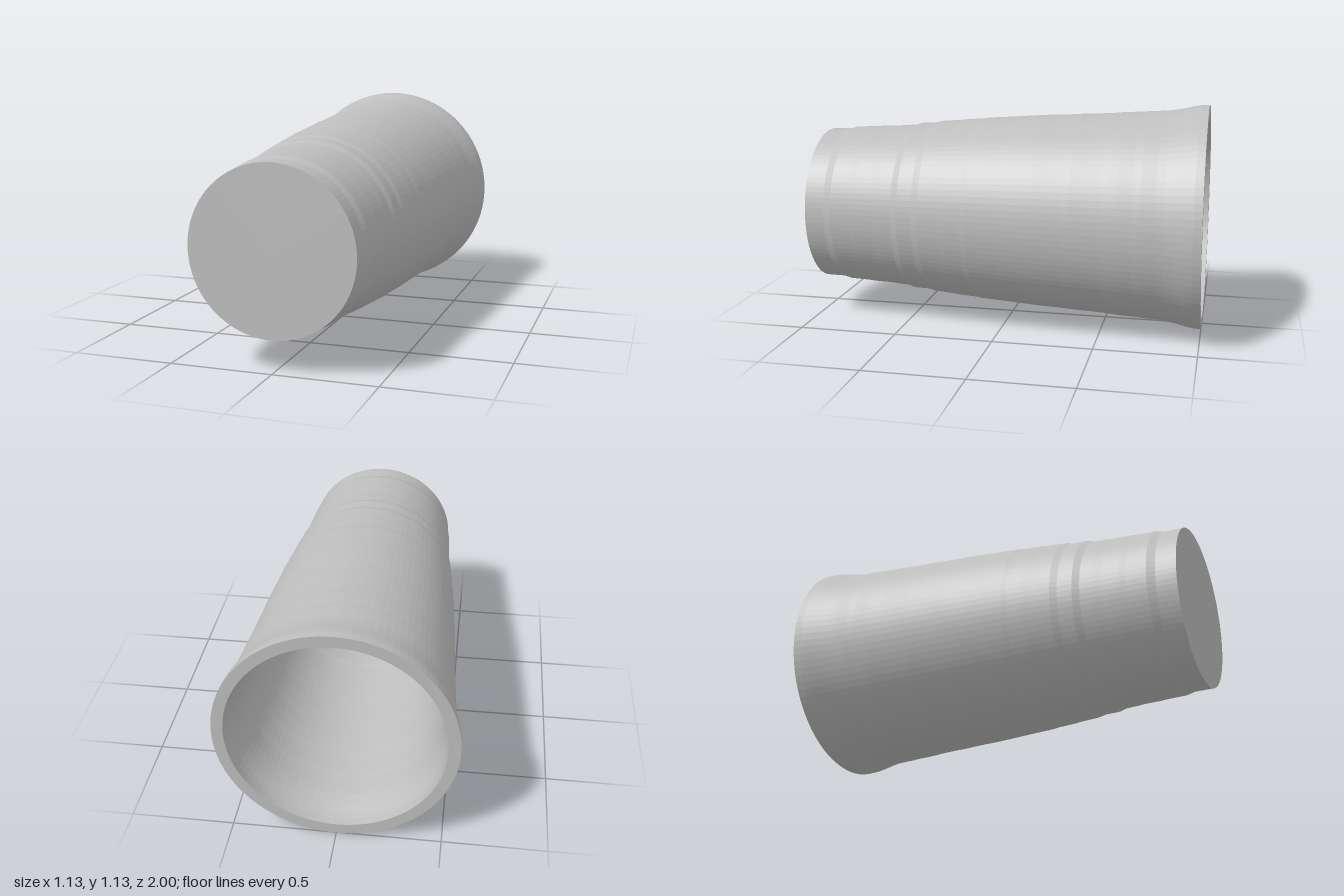
import * as THREE from 'three';

// Outer profile: [z along the axis, radius], from the wide rim to the closed base
const PROFILE = [
  [-1, 0.566], [-0.96, 0.564], [-0.93, 0.559], [-0.87, 0.545], [-0.82, 0.536], [-0.78, 0.532],
  [-0.71, 0.529], [-0.67, 0.525], [-0.6, 0.522], [-0.56, 0.519], [-0.52, 0.515], [-0.45, 0.511],
  [-0.37, 0.508], [-0.33, 0.505], [-0.26, 0.501], [-0.18, 0.498], [-0.08, 0.491], [0, 0.485],
  [0.08, 0.48], [0.14, 0.476], [0.17, 0.471], [0.25, 0.466], [0.29, 0.461], [0.39, 0.453],
  [0.425, 0.444], [0.5, 0.441], [0.535, 0.43], [0.6, 0.426], [0.64, 0.422], [0.73, 0.419],
  [0.76, 0.416], [0.86, 0.412], [0.9, 0.401], [1, 0.399],
];
const WALL = 0.055;
const FLOOR_Z = 0.95;

export function createModel() {
  const group = new THREE.Group();
  group.name = 'cup';

  const clay = new THREE.MeshStandardMaterial({ color: 0xbebebe });
  clay.name = 'plain grey';
  clay.flatShading = true;

  const point = ([z, r]) => new THREE.Vector2(r, z);
  const outer = PROFILE.map(point);
  // The inside follows the same ripples, one wall thickness in
  const inner = PROFILE.filter(([z]) => z < FLOOR_Z).map(([z, r]) => point([z, r - WALL]));

  const wall = (name, points) => {
    const geometry = new THREE.LatheGeometry(points, 96);
    geometry.rotateX(Math.PI / 2); // lay the axis along z
    const mesh = new THREE.Mesh(geometry, clay);
    mesh.name = name;
    group.add(mesh);
  };

  // Rippled outside with its flat base
  wall('outerWall', [...outer, new THREE.Vector2(0, 1)]);
  // Hollow inside with its floor
  wall('innerWall', [
    new THREE.Vector2(0, FLOOR_Z),
    new THREE.Vector2(0.4 - WALL, FLOOR_Z),
    ...inner.reverse(),
  ]);
  // Flat lip joining the two walls
  wall('rim', [new THREE.Vector2(0.566 - WALL, -1), new THREE.Vector2(0.566, -1)]);

  // The cup lies on its rim, base end a touch lower
  group.rotation.x = 0.005;
  group.position.y = 0.561;
  return group;
}
